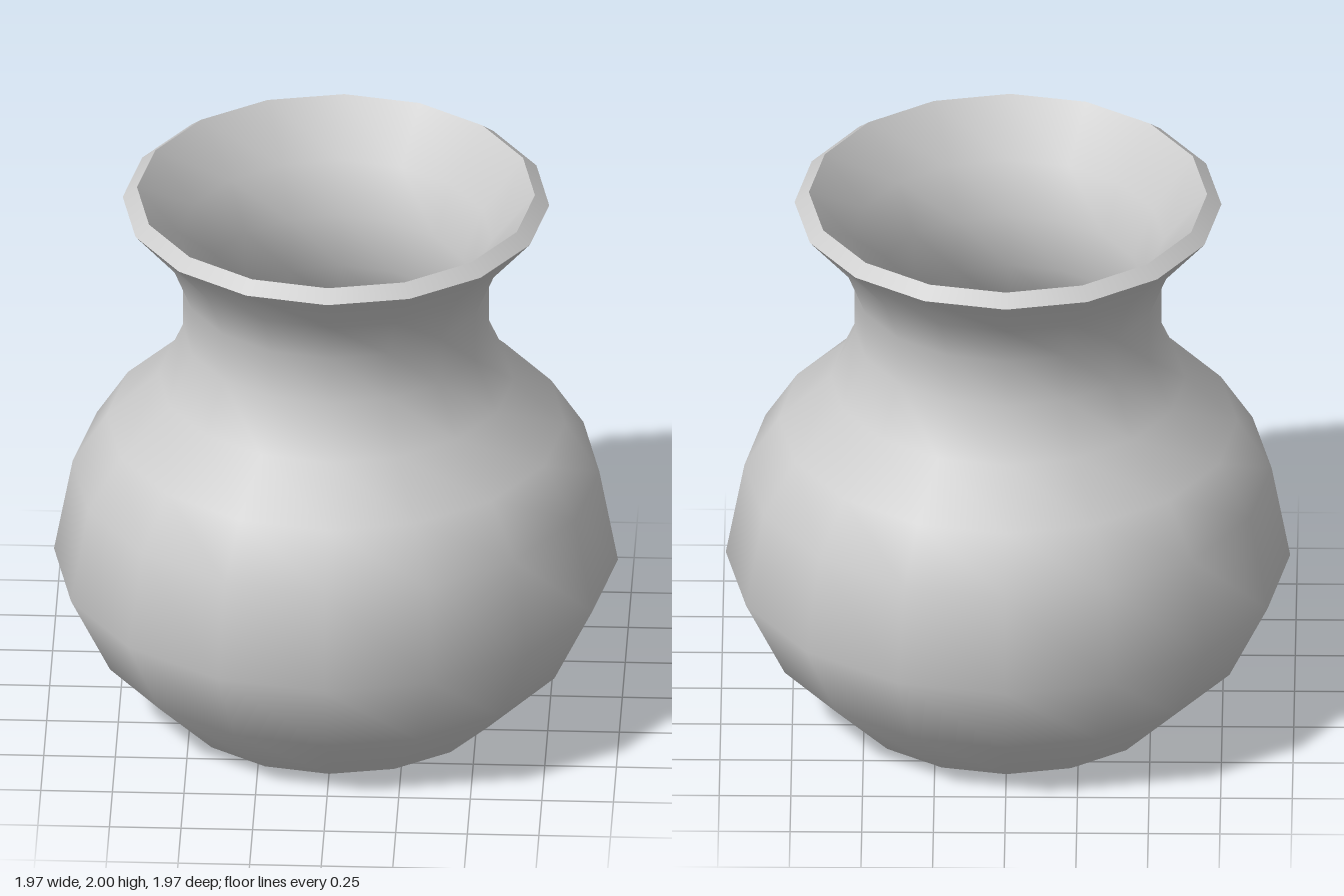
import * as THREE from 'three';

const SIDES = 16;

// Profiles are [radius, height]; upward runs face outward, downward runs face inward.
const outer = [
  [0.59, 0], [0.84, 0.25], [0.985, 0.55], [0.92, 0.9], [0.8, 1.09],
  [0.62, 1.26], [0.535, 1.45], [0.535, 1.63], [0.6, 1.79], [0.745, 1.96],
];
const inner = [
  [0.695, 2], [0.545, 1.82], [0.47, 1.64], [0.47, 1.44], [0.56, 1.22],
  [0.75, 1.05], [0.86, 0.87], [0.92, 0.56], [0.79, 0.28], [0.56, 0.05],
];

export function createModel() {
  const vase = new THREE.Group();
  vase.name = 'vase';
  const material = new THREE.MeshStandardMaterial({ color: 0xcccccc });

  // Each part is its own lathe, so the edges between parts stay sharp.
  const turn = (name, profile) => {
    const points = profile.map(([r, y]) => new THREE.Vector2(r, y));
    const mesh = new THREE.Mesh(new THREE.LatheGeometry(points, SIDES), material);
    mesh.name = name;
    vase.add(mesh);
  };

  turn('outerWall', outer);
  turn('rim', [outer[outer.length - 1], inner[0]]);
  turn('innerWall', inner);
  turn('innerFloor', [inner[inner.length - 1], [0, 0.05]]);
  turn('base', [[0, 0], outer[0]]);

  return vase;
}
